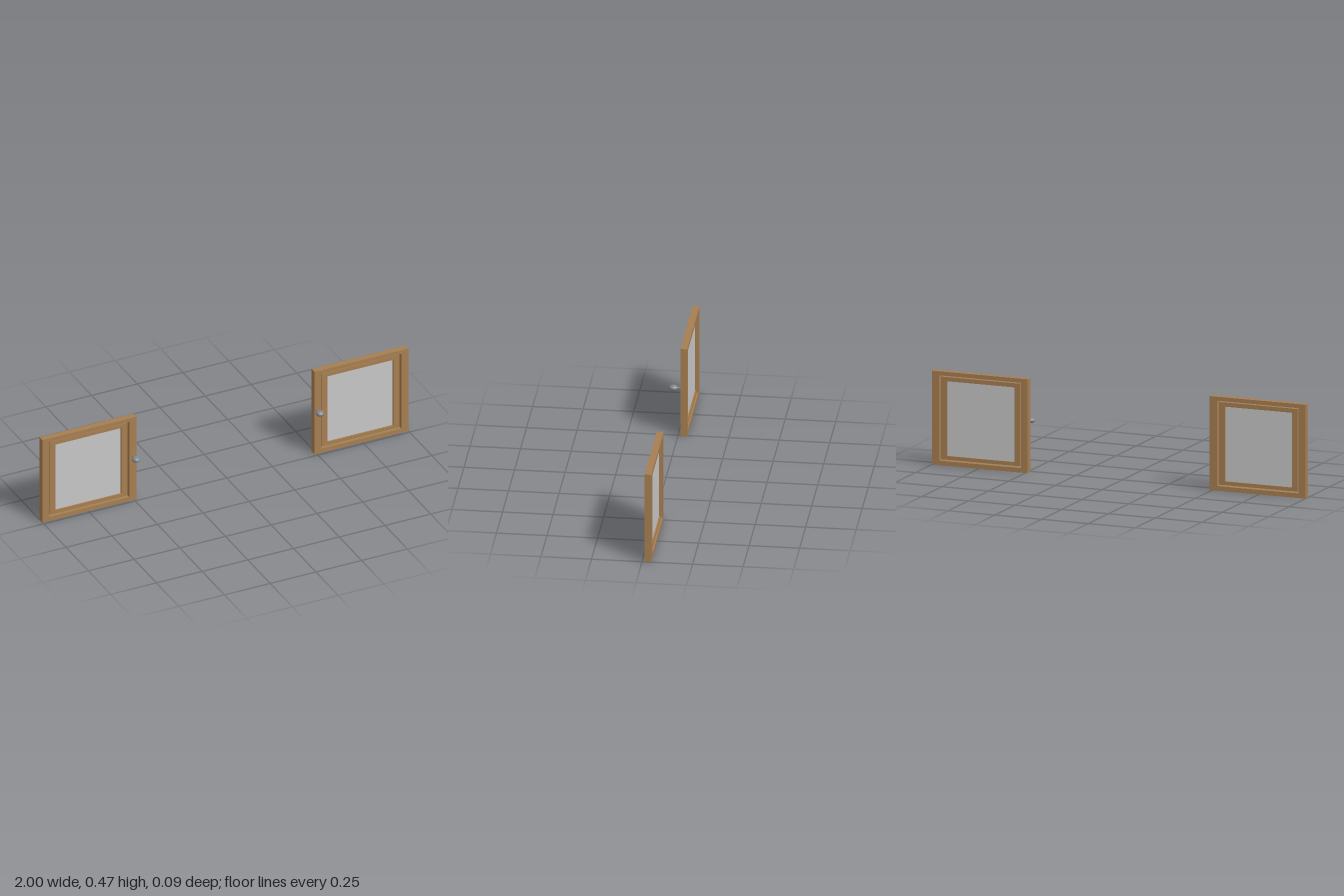
import * as THREE from 'three';

const wood = new THREE.MeshStandardMaterial({ color: 0xa67f52 });
wood.name = 'wood';
const glass = new THREE.MeshStandardMaterial({ color: 0xc8c8c8 });
glass.name = 'glass';
const metal = new THREE.MeshStandardMaterial({ color: 0x84888c });
metal.name = 'metal';

const BACK = -0.046, FRONT = -0.0125, MID = (BACK + FRONT) / 2;

function mesh(name, geometry, material) {
  const m = new THREE.Mesh(geometry, material);
  m.name = name;
  return m;
}

// Rectangular frame; rectangles are [x0, y0, x1, y1]
function frame(name, outer, inner, depth) {
  const points = ([x0, y0, x1, y1]) => [[x0, y0], [x1, y0], [x1, y1], [x0, y1]].map(p => new THREE.Vector2(...p));
  const shape = new THREE.Shape(points(outer));
  shape.holes.push(new THREE.Path(points(inner).reverse()));
  const geometry = new THREE.ExtrudeGeometry(shape, { depth, bevelEnabled: false });
  geometry.translate(0, 0, MID - depth / 2);
  return mesh(name, geometry, wood);
}

// Door with its lower right-hand corner at the local origin
function door(name, knobX) {
  const g = new THREE.Group();
  g.name = name;
  g.add(frame('outerFrame', [0, 0, 0.513, 0.472], [0.037, 0.023, 0.474, 0.452], FRONT - BACK));
  // Inner sash, separated from the outer frame by a narrow open gap
  g.add(frame('innerSash', [0.045, 0.03, 0.467, 0.445], [0.074, 0.048, 0.434, 0.424], 0.02));

  const pane = mesh('glassPane', new THREE.BoxGeometry(0.364, 0.38, 0.005), glass);
  pane.position.set(0.254, 0.236, MID);
  g.add(pane);

  // Oval knob on a short stem
  const knob = new THREE.Group();
  knob.name = 'knob';
  const stem = mesh('knobStem', new THREE.CylinderGeometry(0.005, 0.005, 0.02, 16), metal);
  stem.rotation.x = Math.PI / 2;
  stem.position.z = FRONT + 0.009;
  const head = mesh('knobHead', new THREE.SphereGeometry(1, 24, 16), metal);
  head.scale.set(0.02, 0.014, 0.0225);
  head.position.z = 0.0235;
  knob.add(stem, head);
  knob.position.set(knobX, 0.2525, 0);
  g.add(knob);
  return g;
}

export function createModel() {
  const model = new THREE.Group();
  model.name = 'cabinetDoors';
  const right = door('rightDoor', 0.493);
  right.position.x = -1;
  const left = door('leftDoor', 0.011);
  left.position.x = 0.487;
  model.add(right, left);
  return model;
}
